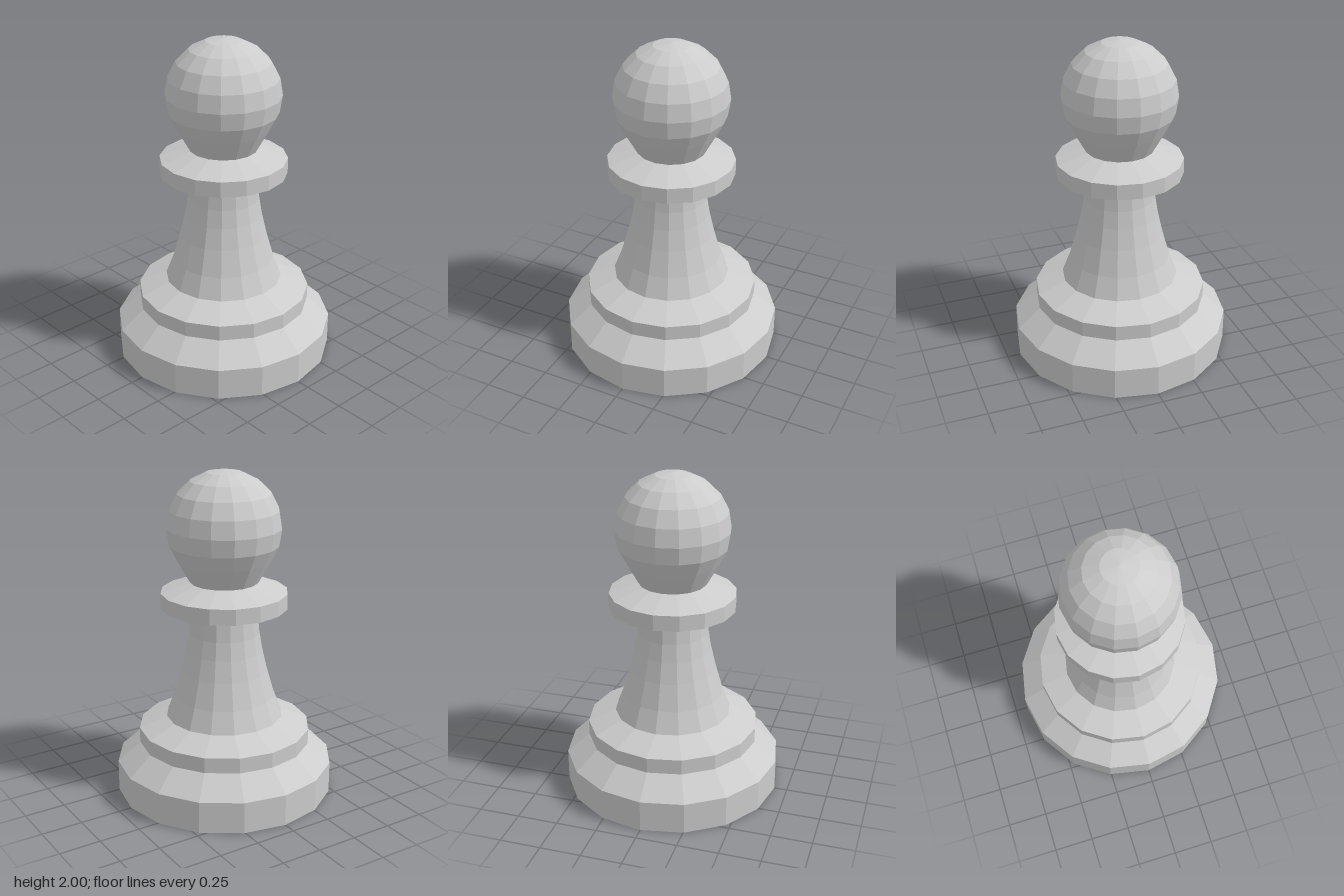
import * as THREE from 'three';

const SIDES = 16;

export function createModel() {
  const group = new THREE.Group();
  const grey = new THREE.MeshStandardMaterial({ color: 0xcccccc, flatShading: true });
  grey.name = 'pale grey';

  // Each part is a 16-sided turning, its profile given bottom to top as [radius, height]
  function turn(name, profile) {
    const points = profile.map(([r, y]) => new THREE.Vector2(r, y));
    const mesh = new THREE.Mesh(new THREE.LatheGeometry(points, SIDES), grey);
    mesh.name = name;
    group.add(mesh);
  }

  // Closed underside, plinth and its bevel
  turn('base', [[0, 0], [0.67, 0], [0.67, 0.195], [0.53, 0.315]]);

  // Upper step of the base
  turn('baseStep', [[0.53, 0.315], [0.53, 0.41], [0.36, 0.48]]);

  // Flared stem
  turn('stem', [[0.36, 0.48], [0.31, 0.61], [0.265, 0.77], [0.235, 0.9], [0.217, 1.01], [0.207, 1.13]]);

  // Collar below the head
  turn('collar', [[0.207, 1.13], [0.385, 1.175], [0.385, 1.27], [0.207, 1.33]]);

  // Head: tapering neck running into a ball with rings every 18 degrees
  const head = [[0.207, 1.33]];
  for (let i = -2; i <= 5; i++) {
    const a = (i * Math.PI) / 10;
    head.push([i === 5 ? 0 : 0.345 * Math.cos(a), 1.66 + 0.34 * Math.sin(a)]);
  }
  turn('head', head);

  return group;
}
